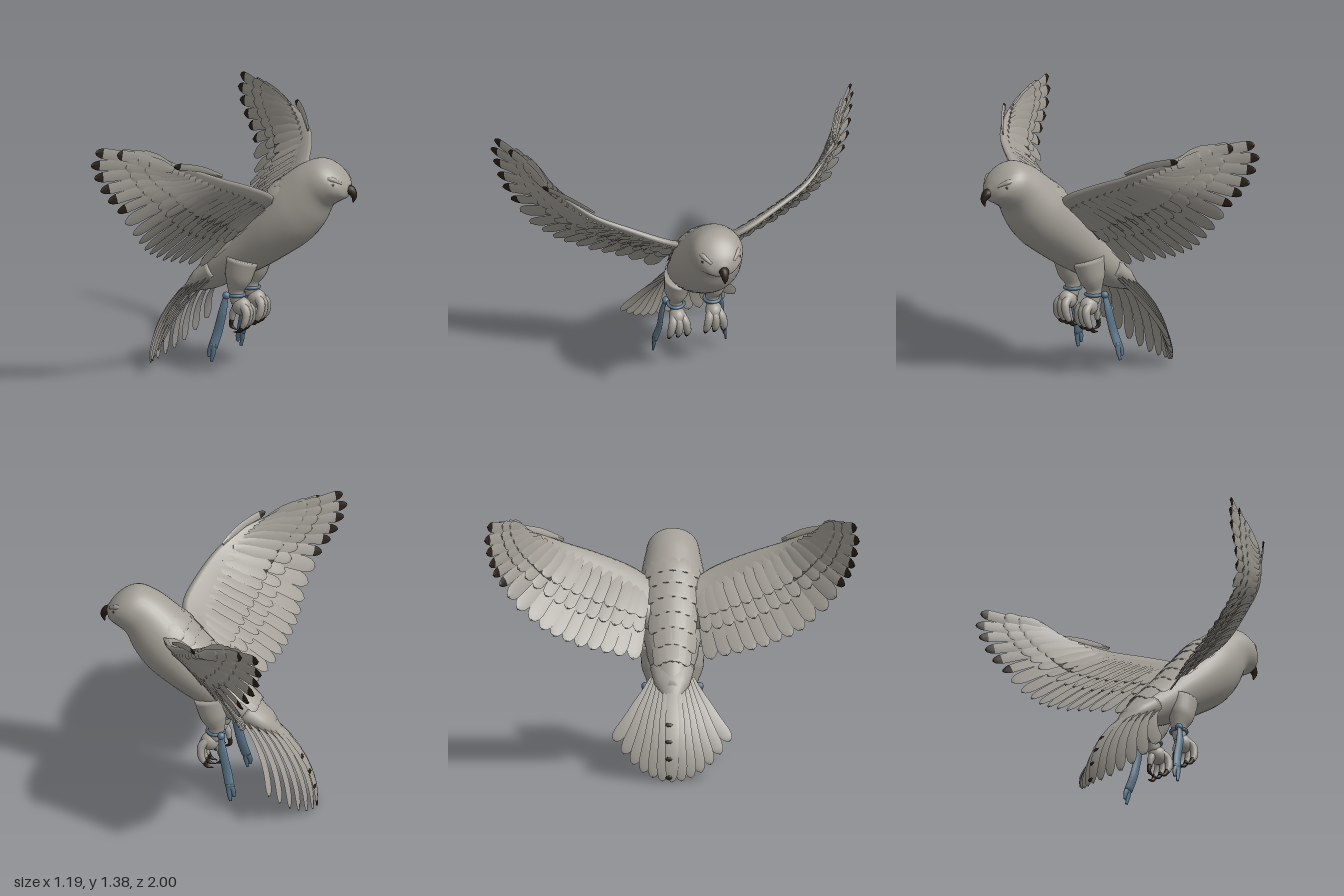
import * as THREE from 'three';
import { mergeGeometries, toCreasedNormals } from 'three/addons/utils/BufferGeometryUtils.js';

const V = (x, y, z = 0) => new THREE.Vector3(x, y, z);
const curve = (pts) => new THREE.CatmullRomCurve3(pts.map((p) => V(...p)));
const mat = (name, color) => {
  const m = new THREE.MeshStandardMaterial({ color });
  m.name = name;
  return m;
};

// Join geometries, keeping only positions and normals
const merge = (geos) => mergeGeometries(geos.map((g) => g.deleteAttribute('uv')));

// Reverse the corner order of every triangle
function flip(geo) {
  const a = geo.index.array;
  for (let i = 0; i < a.length; i += 3) [a[i], a[i + 1]] = [a[i + 1], a[i]];
}

// Closed skin over a list of rings, always facing outwards
function loft(rings, crease = 0) {
  const n = rings.length, m = rings[0].length, idx = [];
  const pts = rings.flat();
  const mean = (r) => r.reduce((s, p) => s.add(p), V(0, 0)).divideScalar(m);
  pts.push(mean(rings[0]), mean(rings[n - 1]));
  for (let j = 0; j < m; j++) {
    const k = (j + 1) % m;
    for (let i = 0; i < n - 1; i++) {
      const a = i * m + j, b = i * m + k;
      idx.push(a, b, a + m, b, b + m, a + m);
    }
    idx.push(n * m, k, j, n * m + 1, (n - 1) * m + j, (n - 1) * m + k);
  }
  const geo = new THREE.BufferGeometry().setFromPoints(pts);
  geo.setIndex(idx);
  let volume = 0;
  for (let i = 0; i < idx.length; i += 3) {
    const [a, b, c] = [0, 1, 2].map((q) => pts[idx[i + q]].clone().sub(pts[0]));
    volume += a.dot(b.cross(c));
  }
  if (volume < 0) flip(geo);
  geo.computeVertexNormals();
  return crease ? toCreasedNormals(geo, crease) : geo;
}

// Round or flattened tube with a changing radius
function tube(path, radii, squash = 1, sides = 12) {
  const c = curve(path), rings = [], steps = (path.length - 1) * 5;
  for (let i = 0; i <= steps; i++) {
    const t = i / steps, f = t * (radii.length - 1), k = Math.min(Math.floor(f), radii.length - 2);
    const r = THREE.MathUtils.lerp(radii[k], radii[k + 1], f - k);
    const p = c.getPoint(t), tan = c.getTangent(t);
    const u = tan.clone().cross(V(0, 0, 1)).normalize(), w = tan.clone().cross(u);
    rings.push(Array.from({ length: sides }, (_, j) => {
      const a = (j / sides) * Math.PI * 2;
      return p.clone().addScaledVector(u, r * Math.cos(a)).addScaledVector(w, r * squash * Math.sin(a));
    }));
  }
  return loft(rings);
}

// Thin bent vane with a raised shaft and a rounded end
function feather(root, ctrl, tip, side, width, t0 = 0, t1 = 1) {
  const c = new THREE.QuadraticBezierCurve3(root, ctrl, tip), rings = [];
  for (let i = 0; i <= 10; i++) {
    const t = t0 + (t1 - t0) * (1 - Math.pow(1 - i / 10, 1.7));
    const p = c.getPoint(t), tan = c.getTangent(t);
    const s = side.clone().addScaledVector(tan, -side.dot(tan)).normalize();
    const n = tan.clone().cross(s);
    const end = t > 0.86 ? Math.sqrt(Math.max(0, 1 - ((t - 0.86) / 0.14) ** 2)) : 1;
    const w = Math.max(0.002, width * (0.5 + 0.5 * Math.min(1, t / 0.45)) * end);
    rings.push([[s, w], [n, 0.005], [s, -w], [n, -0.005]].map(([d, k]) => p.clone().addScaledVector(d, k)));
  }
  return loft(rings, 0.7);
}

export function createModel() {
  const model = new THREE.Group();
  const plumage = mat('pale grey plumage', 0xa39f97);
  const dark = mat('dark brown', 0x2a2018);
  const eyeMat = mat('eye brown', 0x35261a);
  const blue = mat('blue leather', 0x5a7488);

  const add = (name, geo, m) => {
    const mesh = new THREE.Mesh(geo, m);
    mesh.name = name;
    model.add(mesh);
  };
  // A left part and its mirror image
  const pair = (name, geo, m) => {
    add('left' + name, geo, m);
    const g = geo.clone();
    if (!g.index) g.setIndex([...Array(g.attributes.position.count).keys()]);
    flip(g.scale(1, 1, -1));
    add('right' + name, g, m);
  };

  // Body and head: top line and belly line (x, y), with half widths as third value
  const top = curve([[-0.36, 0.5, 0.05], [-0.25, 0.63, 0.1], [-0.12, 0.76, 0.135], [-0.02, 0.88, 0.16],
    [0.08, 0.99, 0.18], [0.15, 1.07, 0.18], [0.21, 1.12, 0.165], [0.29, 1.175, 0.147], [0.39, 1.21, 0.137],
    [0.46, 1.19, 0.118], [0.525, 1.135, 0.08], [0.56, 1.08, 0.028]]);
  const belly = curve([[-0.32, 0.42], [-0.2, 0.45], [-0.1, 0.5], [0.05, 0.575], [0.19, 0.66], [0.33, 0.76],
    [0.41, 0.86], [0.455, 0.95], [0.485, 0.975], [0.52, 0.995], [0.545, 1.01], [0.557, 1.03]]);
  const skin = (v, a, lift = 0) => {
    const t = top.getPoint(v), b = belly.getPoint(v), w = t.z + lift;
    t.z = 0;
    const mid = t.clone().add(b).multiplyScalar(0.5), half = t.sub(mid);
    half.setLength(half.length() + lift);
    return mid.addScaledVector(half, Math.cos(a)).add(V(0, 0, w * Math.sin(a)));
  };
  add('body', loft(Array.from({ length: 56 }, (_, i) =>
    Array.from({ length: 32 }, (_, j) => skin(i / 55, (j / 32) * Math.PI * 2)))), plumage);

  // Overlapping feathers on the back
  const scales = [];
  for (let row = 0; row < 7; row++) {
    for (let k = -2; k <= 2; k++) {
      const a = (k + (row % 2) * 0.5) * 0.36, v = 0.5 - row * 0.055;
      scales.push(feather(skin(v, a, -0.004), skin(v - 0.05, a, 0.006), skin(v - 0.1, a, 0.009),
        skin(v, a + 0.1).sub(skin(v, a - 0.1)), 0.035));
    }
  }
  add('backFeathers', merge(scales), plumage);

  // Face
  add('beak', tube([[0.53, 1.052, 0], [0.565, 1.05, 0], [0.584, 1.02, 0], [0.578, 0.985, 0]],
    [0.03, 0.026, 0.017, 0.003]), dark);
  pair('Eye', new THREE.SphereGeometry(0.024, 20, 14).translate(0.492, 1.09, 0.088), eyeMat);
  pair('Brow', tube([[0.44, 1.125, 0.105], [0.49, 1.122, 0.095], [0.535, 1.095, 0.06]], [0.008, 0.015, 0.008]), plumage);

  // Wing: leading edge and the rear edge of the coverts
  const lead = curve([[0.14, 0.95, 0.08], [0.2, 1.03, 0.2], [0.16, 1.12, 0.4], [0.09, 1.19, 0.58],
    [0, 1.245, 0.69], [-0.1, 1.28, 0.78]]);
  const rear = curve([[-0.06, 0.74, 0.11], [-0.1, 0.78, 0.24], [-0.1, 0.88, 0.44], [-0.13, 0.98, 0.6],
    [-0.2, 1.12, 0.75], [-0.24, 1.26, 0.83]]);
  const dorsal = V(-0.64, 0.7, -0.3).normalize();
  const profile = [[0, 0], [0.06, 0.022], [0.25, 0.036], [0.6, 0.024], [1, 0.002], [0.6, -0.002], [0.25, -0.014], [0.06, -0.016]];
  pair('WingCoverts', loft(Array.from({ length: 31 }, (_, i) => {
    const u = i / 30, l = lead.getPoint(u), r = rear.getPoint(u), thin = 1 - 0.65 * u;
    return profile.map(([c, h]) => l.clone().lerp(r, c).addScaledVector(dorsal, h * thin));
  })), plumage);

  // Flight feather tips from the outermost primary to the innermost secondary
  const tips = [[-0.385, 1.355, 0.93], [-0.49, 1.37, 0.98], [-0.51, 1.3, 0.995], [-0.495, 1.23, 0.985],
    [-0.465, 1.16, 0.97], [-0.43, 1.1, 0.95], [-0.39, 1.04, 0.915], [-0.365, 0.97, 0.87], [-0.34, 0.9, 0.82],
    [-0.335, 0.84, 0.75], [-0.33, 0.79, 0.69], [-0.325, 0.755, 0.63], [-0.315, 0.725, 0.565], [-0.305, 0.695, 0.5],
    [-0.29, 0.675, 0.43], [-0.27, 0.655, 0.36], [-0.245, 0.635, 0.29], [-0.21, 0.61, 0.21]].map((p) => V(...p));
  const vanes = [], darkTips = [], coverts = [];
  tips.forEach((tip, i) => {
    const u = 1 - (i / 17) * 0.88;
    const root = lead.getPoint(u).lerp(rear.getPoint(u), 0.2);
    const side = i < 2 ? V(0, -1, 0.1) : tips[Math.min(i + 1, 17)].clone().sub(tips[i - 1]);
    side.normalize().addScaledVector(dorsal, 0.15);
    const ctrl = root.clone().lerp(tip, 0.5).addScaledVector(dorsal, 0.035);
    const width = i < 7 ? 0.03 : 0.043;
    const cut = i < 7 ? 0.9 : 1;
    vanes.push(feather(root, ctrl, tip, side, width, 0, cut));
    if (cut < 1) darkTips.push(feather(root, ctrl, tip, side, width, cut, 1));
    // Shorter rows lying on the upper and lower faces
    [[0.68, 0.016], [0.62, -0.012], [0.5, 0.026], [0.42, -0.018]].forEach(([f, h]) => {
      const r = root.clone().addScaledVector(dorsal, h * 0.7);
      const e = root.clone().lerp(tip, f).addScaledVector(dorsal, h + 0.016);
      coverts.push(feather(r, r.clone().lerp(e, 0.5).addScaledVector(dorsal, 0.012), e, side, 0.034));
    });
  });
  // Thumb feather standing off the leading edge
  const thumb = [V(0.07, 1.205, 0.58), V(0.0, 1.275, 0.7), V(-0.105, 1.295, 0.82), V(-0.5, -0.6, 0.3), 0.02];
  vanes.push(feather(...thumb, 0, 0.88));
  darkTips.push(feather(...thumb, 0.88, 1));
  pair('FlightFeathers', merge(vanes), plumage);
  pair('FlightFeatherTips', merge(darkTips), dark);
  pair('CovertFeathers', merge(coverts), plumage);

  // Tail fan: the middle feathers arch highest
  const tail = [], n = 6;
  for (let k = -n; k <= n; k++) {
    const f = k / n, q = f * f, a = Math.abs(f);
    const root = V(-0.25 + 0.04 * q, 0.56 - 0.05 * q, 0.1 * f);
    const tip = V(-0.58 + 0.19 * Math.pow(a, 1.6), 0.012 + 0.19 * Math.pow(a, 2.2), 0.31 * f);
    const ctrl = V(-0.585 + 0.23 * Math.pow(a, 1.3), 0.33 + 0.04 * q, 0.17 * f);
    tail.push(feather(root, ctrl, tip, V(0.25 * f, 0.3 * f - 0.1, 1), 0.036));
  }
  add('tailFeathers', merge(tail), plumage);
  add('tailCoverts', tube([[-0.2, 0.56, 0], [-0.3, 0.49, 0], [-0.41, 0.385, 0]], [0.07, 0.055, 0.012], 1.7, 20), plumage);
  const ridge = new THREE.QuadraticBezierCurve3(V(-0.25, 0.56), V(-0.585, 0.33), V(-0.58, 0.012));
  const marks = [0.5, 0.65, 0.8, 0.96].map((t) => {
    const p = ridge.getPoint(t), d = ridge.getTangent(t);
    return new THREE.SphereGeometry(1, 12, 8).scale(0.012, 0.004, 0.02)
      .rotateZ(Math.atan2(d.y, d.x)).translate(p.x - 0.003, p.y, -0.015);
  });
  add('tailMarks', merge(marks), dark);

  // Legs, feet and claws
  pair('Leg', tube([[-0.02, 0.64, 0.095], [-0.04, 0.54, 0.102], [-0.055, 0.47, 0.1], [-0.045, 0.4, 0.1]],
    [0.09, 0.074, 0.044, 0.036], 0.85, 20), plumage);
  const toes = [new THREE.SphereGeometry(1, 20, 14).scale(0.052, 0.05, 0.045).translate(-0.022, 0.385, 0.1)];
  const claws = [];
  for (const k of [-1, 0, 1]) {
    const z = (s) => 0.1 + s * k;
    toes.push(tube([[-0.02, 0.4, z(0.015)], [0.018, 0.365, z(0.035)], [0.016, 0.31, z(0.046)], [0, 0.278, z(0.048)]],
      [0.024, 0.023, 0.02, 0.014]));
    claws.push(tube([[0.002, 0.285, z(0.048)], [-0.015, 0.258, z(0.048)], [-0.05, 0.25, z(0.044)]], [0.014, 0.01, 0.002]));
  }
  toes.push(tube([[-0.04, 0.39, 0.1], [-0.07, 0.35, 0.1], [-0.078, 0.305, 0.1]], [0.024, 0.02, 0.013]));
  claws.push(tube([[-0.08, 0.31, 0.1], [-0.082, 0.272, 0.1], [-0.05, 0.252, 0.1]], [0.013, 0.011, 0.002]));
  pair('Foot', merge(toes), plumage);
  pair('Claws', merge(claws), dark);

  // Leather straps tied at the ankles, with forked ends
  pair('Strap', merge([
    new THREE.TorusGeometry(0.043, 0.009, 8, 24).rotateX(Math.PI / 2).translate(-0.053, 0.445, 0.1),
    new THREE.SphereGeometry(0.021, 14, 10).translate(-0.092, 0.445, 0.145),
    tube([[-0.092, 0.45, 0.148], [-0.105, 0.36, 0.165], [-0.13, 0.25, 0.172], [-0.15, 0.17, 0.19]], [0.014, 0.024, 0.026, 0.026], 0.5),
    tube([[-0.15, 0.185, 0.19], [-0.168, 0.15, 0.192], [-0.172, 0.115, 0.195]], [0.018, 0.014, 0.008], 0.6),
    tube([[-0.145, 0.185, 0.19], [-0.146, 0.14, 0.195], [-0.155, 0.092, 0.2]], [0.018, 0.014, 0.008], 0.6),
  ]), blue);

  return model;
}
